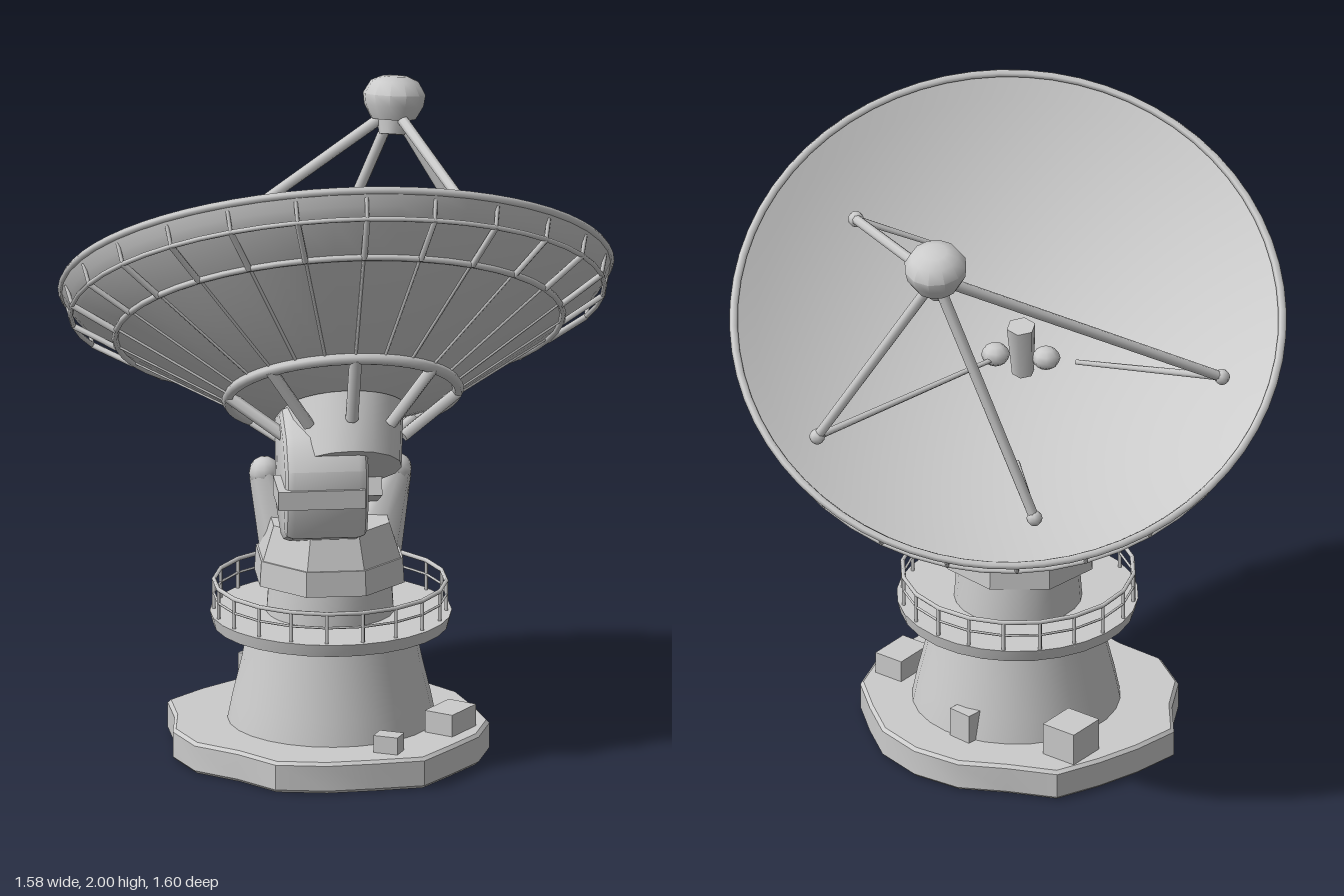
import * as THREE from 'three';
import { toCreasedNormals } from 'three/addons/utils/BufferGeometryUtils.js';

const V = (x, y, z) => new THREE.Vector3(x, y, z);
const V2 = p => new THREE.Vector2(...p);
const UP = V(0, 1, 0);
const AXIS = V(0.418, 0.82, -0.391).normalize(); // pointing direction of the dish
const RIM = V(0.018, 1.494, -0.018);             // centre of the dish rim
const AZ = Math.atan2(0.73, -0.68);              // heading of the mount

const mat = new THREE.MeshStandardMaterial({ color: 0xcccccc });
const thin = new THREE.MeshStandardMaterial({ color: 0xcccccc, side: THREE.DoubleSide });

function add(parent, name, geo, x = 0, y = 0, z = 0, material = mat) {
  const m = new THREE.Mesh(geo, material);
  m.name = name;
  m.position.set(x, y, z);
  parent.add(m);
  return m;
}
const box = (w, h, d) => new THREE.BoxGeometry(w, h, d);
const crease = (g, a = 0.6) => toCreasedNormals(g, a);

// round bar between two points
function bar(parent, name, a, b, r, r2 = r, sides = 6) {
  const d = b.clone().sub(a);
  const m = add(parent, name, new THREE.CylinderGeometry(r2, r, d.length(), sides));
  m.position.copy(a).addScaledVector(d, 0.5);
  m.quaternion.setFromUnitVectors(UP, d.normalize());
  return m;
}
function ring(parent, name, r, y, tube, seg = 48) {
  const m = add(parent, name, new THREE.TorusGeometry(r, tube, 6, seg), 0, y, 0);
  m.rotation.x = Math.PI / 2;
  return m;
}
const polar = (r, y, a) => V(r * Math.cos(a), y, r * Math.sin(a));

// uneven concrete slab, tower, platform with railing
function buildBase() {
  const g = new THREE.Group();
  g.name = 'base';
  g.position.set(-0.1, 0, 0.05);

  const pts = [];
  for (let i = 0; i < 20; i++) {
    const a = (i / 20) * Math.PI * 2;
    const r = 0.97 + 0.03 * Math.sin(i * 2.4) + 0.02 * Math.cos(i * 4.1);
    pts.push(V2([0.48 * r * Math.cos(a), 0.51 * r * Math.sin(a)]));
  }
  const slab = new THREE.ExtrudeGeometry(new THREE.Shape(pts),
    { depth: 0.08, bevelEnabled: true, bevelThickness: 0.01, bevelSize: 0.01, bevelSegments: 1 });
  slab.rotateX(-Math.PI / 2);
  add(g, 'foundationSlab', crease(slab), -0.006, 0.01, -0.008);

  const tower = [[0.325, 0.09], [0.307, 0.18], [0.28, 0.29], [0.255, 0.42]].map(V2);
  add(g, 'tower', new THREE.LatheGeometry(tower, 28), 0.008, 0, 0, thin);

  // equipment cabinets on the slab
  [[0.13, 0.13, 0.37, 0.14, 0.08, 0.1, 0.1], [-0.17, 0.125, 0.36, 0.06, 0.06, 0.08, 0.3],
    [0.16, 0.15, -0.375, 0.13, 0.11, 0.12, 0.1], [0.31, 0.145, -0.07, 0.06, 0.1, 0.08, 0]]
    .forEach(([x, y, z, w, h, d, a]) => { add(g, 'cabinet', box(w, h, d), x, y, z).rotation.y = a; });

  add(g, 'platform', crease(new THREE.CylinderGeometry(0.375, 0.365, 0.04, 28)), -0.003, 0.43, 0.005);
  add(g, 'neck', crease(new THREE.CylinderGeometry(0.19, 0.2, 0.14, 24)), 0, 0.5, 0);
  ring(g, 'handRail', 0.36, 0.545, 0.007, 20);
  ring(g, 'midRail', 0.36, 0.5, 0.004, 20);
  for (let i = 0; i < 20; i++) {
    const a = (i / 20) * Math.PI * 2;
    bar(g, 'railPost', polar(0.36, 0.44, a), polar(0.36, 0.547, a), 0.006);
  }
  return g;
}

// turntable, yoke horns and tilting housing
function buildMount() {
  const g = new THREE.Group();
  g.name = 'mount';
  const t = new THREE.Group();
  t.name = 'turntable';
  t.position.set(-0.13, 0, 0.07);
  t.rotation.y = AZ + Math.PI / 8;
  g.add(t);
  add(t, 'turntableSlab', crease(new THREE.CylinderGeometry(0.238, 0.243, 0.08, 8)), 0, 0.61, 0);
  add(t, 'turntableBody', crease(new THREE.CylinderGeometry(0.195, 0.235, 0.12, 8)), 0, 0.7, 0);
  add(t, 'azimuthBearing', crease(new THREE.CylinderGeometry(0.15, 0.15, 0.04, 20)), 0, 0.56, 0);

  // paired horns either side of the elevation axle
  for (const s of [-1, 1]) {
    const px = 0.68 * s, pz = 0.73 * s;
    const tip = V(-0.06 + px * 0.205, 0.885, 0.02 + pz * 0.205);
    bar(g, 'yokeHorn', V(-0.07 + px * 0.125, 0.65, 0.03 + pz * 0.125), tip, 0.1, 0.05, 8);
    add(g, 'hornTip', new THREE.SphereGeometry(0.05, 10, 8), tip.x, tip.y, tip.z);
  }
  bar(g, 'elevationAxle', V(-0.19, 0.86, -0.11), V(0.07, 0.86, 0.17), 0.035, 0.035, 12);

  // rounded block carrying the drive, drawn as a side profile across the mount
  const profile = [[0.06, 0.82], [0.24, 0.76], [0.35, 0.8], [0.39, 0.9], [0.39, 1], [0.33, 1.08], [0.2, 1.13], [0.06, 1.08]];
  const block = new THREE.ExtrudeGeometry(new THREE.Shape(profile.map(V2)),
    { depth: 0.2, bevelEnabled: true, bevelThickness: 0.03, bevelSize: 0.025, bevelSegments: 2 });
  block.translate(0, 0, -0.1);
  const housing = add(g, 'tiltHousing', crease(block, 0.7), -0.092, 0, -0.015);
  housing.rotation.y = AZ + Math.PI / 2;

  add(g, 'serviceLedge', box(0.27, 0.06, 0.18), -0.35, 0.92, 0.2).rotation.y = AZ;
  const gear = add(g, 'gearHousing', box(0.2, 0.23, 0.22), -0.085, 0.93, 0.1);
  gear.rotation.set(0.4, AZ, 0, 'YXZ');

  // drum joining the block to the dish
  const hub = new THREE.Group();
  hub.name = 'hub';
  hub.position.copy(RIM);
  hub.quaternion.setFromUnitVectors(UP, AXIS);
  g.add(hub);
  add(hub, 'hubDrum', crease(new THREE.CylinderGeometry(0.19, 0.17, 0.24, 16)), 0, -0.51, 0);
  return g;
}

// reflector, built around its own axis with the rim at y = 0
function buildDish() {
  const g = new THREE.Group();
  g.name = 'dish';
  g.position.copy(RIM);
  g.quaternion.setFromUnitVectors(UP, AXIS);

  const inner = [];
  for (let i = 0; i <= 12; i++) {
    inner.push(V2([0.855 * i / 12, -0.26 + 0.26 * (i / 12) ** 2]));
  }
  add(g, 'reflector', new THREE.LatheGeometry(inner, 64), 0, 0, 0, thin);
  const back = [[0.19, -0.44], [0.35, -0.385], [0.69, -0.165], [0.8, -0.08], [0.833, -0.045], [0.857, 0]];
  add(g, 'backShell', crease(new THREE.LatheGeometry(back.map(V2), 48), 0.3), 0, 0, 0, thin);

  ring(g, 'rim', 0.85, 0, 0.013, 64);
  ring(g, 'outerBackRing', 0.828, -0.085, 0.008);
  ring(g, 'innerBackRing', 0.695, -0.168, 0.01);
  ring(g, 'hubRing', 0.358, -0.39, 0.018);

  const n = 24;
  for (let i = 0; i < n; i++) {
    const a = (i / n) * Math.PI * 2;
    bar(g, 'bandRib', polar(0.828, -0.085, a), polar(0.695, -0.171, a), 0.01);
    bar(g, 'rimPost', polar(0.828, -0.085, a), polar(0.843, -0.02, a), 0.007);
    bar(g, 'backRib', polar(0.69, -0.166, a), polar(0.35, -0.386, a), 0.005);
    if (i % 3 === 0) bar(g, 'hubStrut', polar(0.358, -0.39, a), polar(0.18, -0.53, a), 0.02);
  }
  return g;
}

// subreflector on four bent legs, and the feed at the dish centre
function buildFeed() {
  const g = new THREE.Group();
  g.name = 'feedSupport';
  const top = V(0.497, 1.918, -0.16);

  const dome = [[0, -0.065], [0.07, -0.062], [0.093, -0.02], [0.098, 0.015], [0.075, 0.055], [0.04, 0.07], [0, 0.073]];
  const head = add(g, 'subreflector', crease(new THREE.LatheGeometry(dome.map(V2), 12), 0.8));
  head.position.copy(top);
  head.quaternion.setFromUnitVectors(UP, V(0.2, 1, -0.1).normalize());
  bar(g, 'subreflectorHorn', V(0.46, 1.815, -0.14), V(0.48, 1.88, -0.15), 0.04, 0.055, 10);

  // elbow and foot of each leg
  [[V(-0.33, 1.37, -0.6), V(-0.17, 1.31, -0.13)], [V(0.37, 1.1, -0.46), V(0.17, 1.12, -0.2)],
    [V(0.66, 1.26, 0.19), V(0, 1.31, 0.07)], [V(0.09, 1.66, 0.56), V(-0.14, 1.53, 0.38)]]
    .forEach(([elbow, foot]) => {
      const end = top.clone().lerp(elbow, 0.06).add(V(0, -0.03, 0));
      bar(g, 'leg', elbow, end, 0.016, 0.018, 8);
      bar(g, 'legFoot', elbow, foot, 0.012, 0.008, 6);
      add(g, 'legJoint', new THREE.SphereGeometry(0.025, 8, 6), elbow.x, elbow.y, elbow.z);
    });

  bar(g, 'feedHorn', V(-0.08, 1.26, 0.01), V(-0.055, 1.435, -0.005), 0.036, 0.046, 6);
  for (const [x, z] of [[-0.12, -0.05], [-0.03, 0.08]]) {
    add(g, 'feedBox', new THREE.SphereGeometry(0.045, 8, 6), x, 1.315, z).scale.y = 0.8;
  }
  return g;
}

export function createModel() {
  const model = new THREE.Group();
  model.name = 'radioTelescope';
  model.add(buildBase(), buildMount(), buildDish(), buildFeed());
  return model;
}
